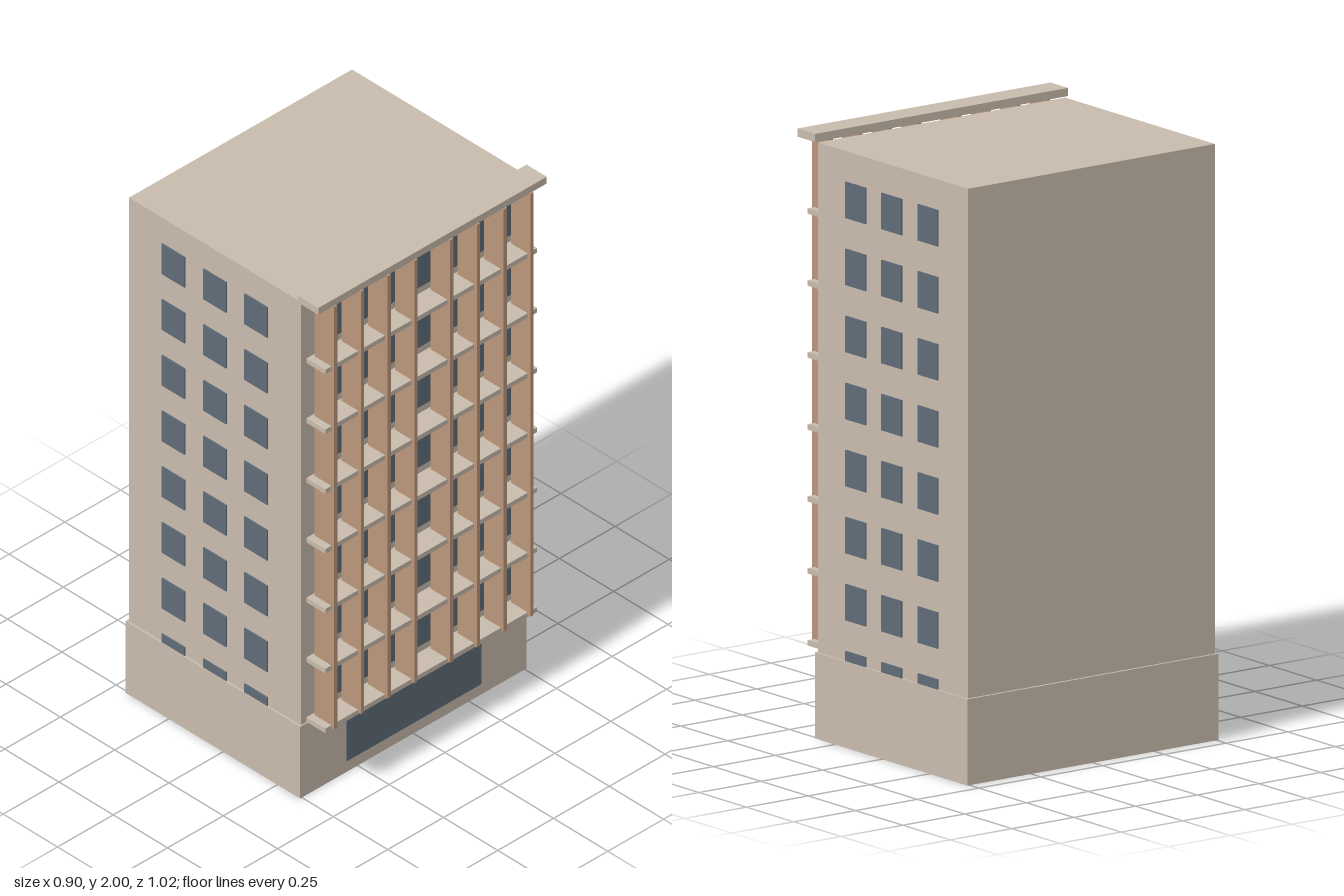
import * as THREE from 'three';

export function createModel() {
  const model = new THREE.Group();
  model.name = 'officeTower';

  const material = (name, color) => {
    const m = new THREE.MeshStandardMaterial({ color });
    m.name = name;
    return m;
  };
  const stone = material('stone', 0xc9bcad);
  const glass = material('glass', 0x5f6c78);
  const terracotta = material('terracotta', 0xbb967b);

  // Box given by its limits on each axis
  function box(name, mat, [x0, x1], [y0, y1], [z0, z1], parent = model) {
    const mesh = new THREE.Mesh(new THREE.BoxGeometry(x1 - x0, y1 - y0, z1 - z0), mat);
    mesh.position.set((x0 + x1) / 2, (y0 + y1) / 2, (z0 + z1) / 2);
    mesh.name = name;
    parent.add(mesh);
    return mesh;
  }
  function group(name) {
    const g = new THREE.Group();
    g.name = name;
    model.add(g);
    return g;
  }

  // Main masses
  box('base', stone, [-0.45, 0.355], [0, 0.285], [-0.508, 0.508]);
  box('tower', stone, [-0.441, 0.35], [0.285, 1.97], [-0.5, 0.5]);
  box('cornice', stone, [0.35, 0.443], [1.973, 2], [-0.512, 0.512]);
  box('entranceWindow', glass, [0.353, 0.359], [0.045, 0.245], [-0.302, 0.302]);

  // Square windows on the front and back; the lowest row is cut by the base
  const sideWindows = group('sideWindows');
  for (const side of [-1, 1]) {
    for (let row = 0; row < 8; row++) {
      const top = 1.87 - row * 0.2217;
      const bottom = Math.max(top - 0.12, 0.285);
      for (const x of [-0.234, -0.043, 0.147]) {
        const z = side > 0 ? [0.498, 0.505] : [-0.505, -0.498];
        box('sideWindow', glass, [x - 0.053, x + 0.053], [bottom, top], z, sideWindows);
      }
    }
  }

  // Ribbon windows and floor ledges of the screened facade
  const facade = group('facade');
  for (let floor = 0; floor < 7; floor++) {
    const y = 0.295 + floor * 0.238;
    box('ledge', stone, [0.35, 0.437], [y - 0.009, y + 0.009], [-0.475, 0.475], facade);
    box('ribbonWindow', glass, [0.348, 0.355], [y + 0.038, y + 0.182], [-0.437, 0.437], facade);
  }

  // Upright sunshade fins, mirrored about the middle gap
  const fins = group('fins');
  for (const side of [-1, 1]) {
    for (let i = 0; i < 4; i++) {
      const z = side * (0.08 + i * 0.12);
      box('fin', terracotta, [0.36, 0.449], [0.293, 1.974], [z - 0.0075, z + 0.0075], fins);
    }
  }

  return model;
}
